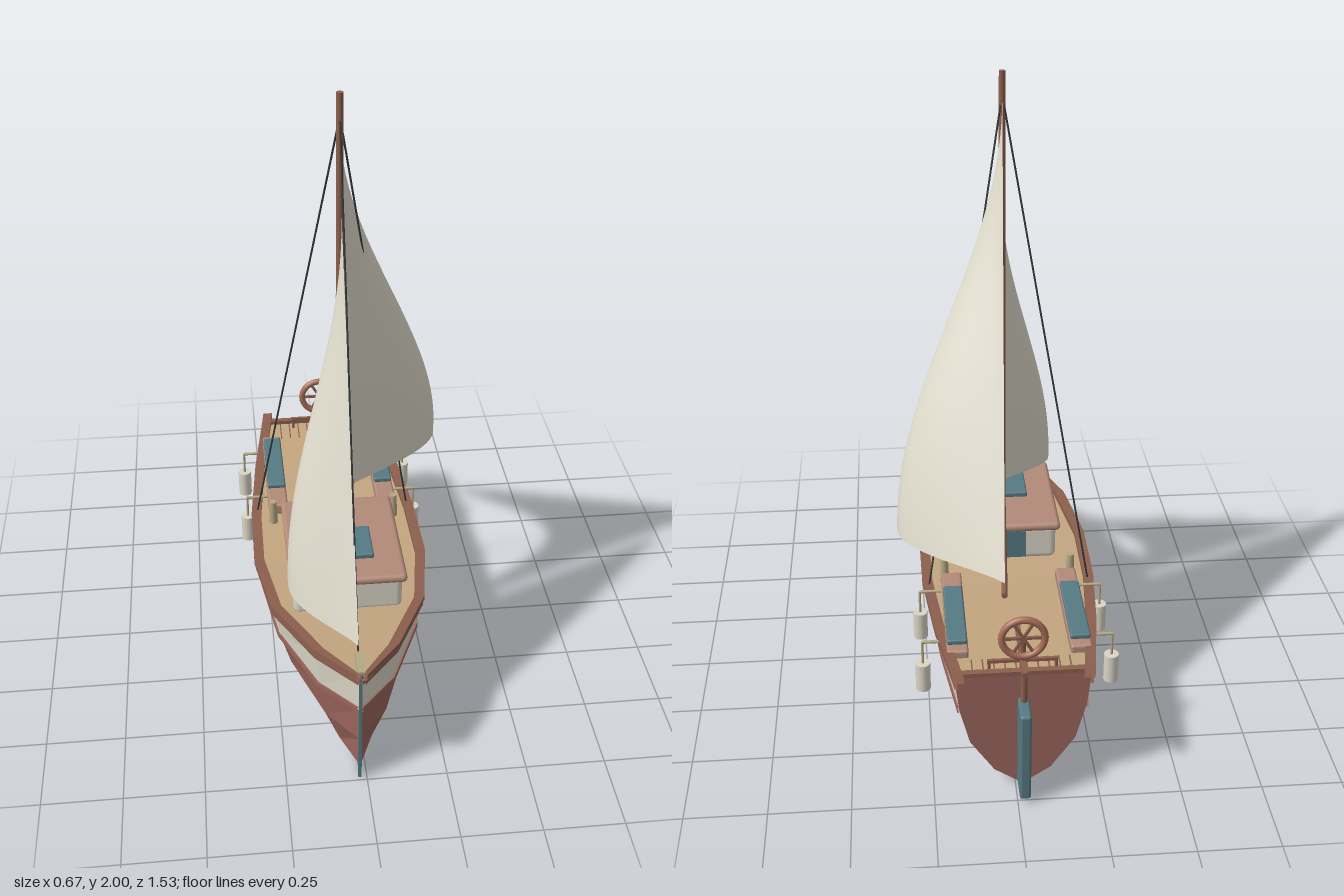
import * as THREE from 'three';
import { RoundedBoxGeometry } from 'three/addons/geometries/RoundedBoxGeometry.js';

const RED = 0x9a655c, CREAM = 0xd9d4c5, WOOD = 0x8c5f4d, TAN = 0xc4a680, ROOF = 0xb28a79,
  TEAL = 0x567a83, SAIL = 0xdedacb, DARK = 0x33383a, BRASS = 0xb3a883;

// hull stations from bow to stern: z, half-width, sheer height
const STATIONS = [[0.74, 0.003, 0.43], [0.62, 0.122, 0.415], [0.38, 0.236, 0.39], [0.13, 0.276, 0.378],
  [-0.13, 0.273, 0.375], [-0.4, 0.246, 0.388], [-0.67, 0.205, 0.41]];
// hull section below the waterline: height, fraction of half-width
const SECTION = [[0, 0.02], [0.055, 0.42], [0.165, 0.78], [0.285, 0.93]];

function mat(color, flatShading = false, side = THREE.FrontSide) {
  const m = new THREE.MeshStandardMaterial({ color, flatShading, side });
  return m;
}

// surface through rows of [x, y, z] points
function grid(rows) {
  const n = rows[0].length, index = [];
  for (let i = 0; i < rows.length - 1; i++) {
    for (let j = 0; j < n - 1; j++) {
      const a = i * n + j, b = a + n;
      index.push(a, b, a + 1, b, b + 1, a + 1);
    }
  }
  const g = new THREE.BufferGeometry();
  g.setAttribute('position', new THREE.Float32BufferAttribute(rows.flat(2), 3));
  g.setIndex(index);
  g.computeVertexNormals();
  return g;
}

export function createModel() {
  const boat = new THREE.Group();
  boat.name = 'sailboat';
  boat.position.x = -0.022;

  const add = (name, geo, color, pos = [0, 0, 0]) => {
    const mesh = new THREE.Mesh(geo, mat(color));
    mesh.name = name;
    mesh.position.set(...pos);
    boat.add(mesh);
    return mesh;
  };
  const surface = (name, rows, color, flat = true) => {
    const mesh = add(name, grid(rows), color);
    mesh.material = mat(color, flat, THREE.DoubleSide);
    return mesh;
  };
  const box = (name, size, pos, color) => add(name, new THREE.BoxGeometry(...size), color, pos);
  const rounded = (name, size, pos, color, r) =>
    add(name, new RoundedBoxGeometry(...size, 3, r), color, pos);
  const rod = (name, from, to, r, color, rTop = r, sides = 12) => {
    const a = new THREE.Vector3(...from), b = new THREE.Vector3(...to);
    const mesh = add(name, new THREE.CylinderGeometry(rTop, r, a.distanceTo(b), sides), color);
    mesh.position.copy(a).lerp(b, 0.5);
    mesh.quaternion.setFromUnitVectors(new THREE.Vector3(0, 1, 0), b.sub(a).normalize());
    return mesh;
  };

  // hull sides, rub strip and gunwale
  for (const s of [1, -1]) {
    surface('lowerHull', STATIONS.map(([z, w]) => SECTION.map(([y, f]) => [s * w * f, y, z])), RED);
    surface('topsides', STATIONS.map(([z, w, h]) => [[s * w * 0.93, 0.285, z], [s * w, h, z]]), CREAM);
    surface('rubStrip', STATIONS.map(([z, w]) => {
      const x = w * 0.93;
      return [[s * x, 0.278, z], [s * (x + 0.006), 0.278, z], [s * (x + 0.006), 0.296, z], [s * x, 0.296, z]];
    }), RED);
    const path = [[0.765, 0.008, 0.433], ...STATIONS.slice(1), [-0.705, 0.2, 0.413]];
    const band = (name, inner, outer, low, high) => surface(name, path.map(([z, w, h]) => {
      const a = s * Math.max(0, w + inner), b = s * (w + outer);
      return [[a, h + low, z], [b, h + low, z], [b, h + high, z], [a, h + high, z], [a, h + low, z]];
    }), WOOD);
    band('gunwaleCap', -0.024, 0.009, 0, 0.016);
    band('gunwaleStrake', -0.004, 0.005, -0.02, -0.006);
  }

  // transom
  const [sternZ, sternW, sternH] = STATIONS[STATIONS.length - 1];
  const levels = [...SECTION, [sternH, 1]];
  surface('transom', levels.map(([y, f]) => [[-sternW * f, y, sternZ], [sternW * f, y, sternZ]]), RED);
  box('transomCap', [sternW * 2, 0.014, 0.02], [0, sternH + 0.006, sternZ + 0.005], WOOD);

  // deck and plank seams
  surface('deck', STATIONS.map(([z, w, h]) => [-0.97, 0, 0.97].map((f) => [f * w, h - 0.006, z])), TAN);
  for (let i = -4; i <= 5; i++) {
    const seam = box('plankSeam', [0.004, 0.004, 0.08], [i * 0.033 - 0.016, 0.402, -0.615], WOOD);
    seam.rotation.x = 0.08;
  }

  // stem and bowsprit stub
  box('stem', [0.01, 0.42, 0.012], [0, 0.215, 0.737], TEAL);
  box('bowChock', [0.022, 0.018, 0.09], [0, 0.447, 0.715], BRASS);

  // cabin
  rounded('cabinWalls', [0.345, 0.125, 0.39], [0, 0.435, 0.197], CREAM, 0.02);
  rounded('cabinRoof', [0.37, 0.03, 0.435], [0, 0.505, 0.197], ROOF, 0.0145);
  rounded('hatch', [0.18, 0.02, 0.15], [0, 0.527, 0.24], TEAL, 0.006);
  box('cabinDoor', [0.14, 0.1, 0.016], [0, 0.44, -0.004], TEAL);
  for (const s of [1, -1]) {
    for (const z of [0.305, 0.145]) {
      const ring = add('portholeRing', new THREE.TorusGeometry(0.025, 0.006, 8, 24), WOOD, [s * 0.173, 0.45, z]);
      ring.rotation.y = Math.PI / 2;
      rod('portholeGlass', [s * 0.165, 0.45, z], [s * 0.176, 0.45, z], 0.025, TEAL, 0.025, 24);
    }
    // benches, winches and fenders
    rounded('bench', [0.066, 0.04, 0.43], [s * 0.188, 0.4, -0.345], ROOF, 0.008);
    rounded('cushion', [0.062, 0.018, 0.295], [s * 0.188, 0.427, -0.378], TEAL, 0.006);
    rod('winch', [s * 0.208, 0.37, -0.105], [s * 0.208, 0.455, -0.105], 0.015, BRASS, 0.012, 16);
    for (const z of [-0.21, -0.48]) {
      const x = s * 0.293;
      rod('fender', [x, 0.23, z], [x, 0.325, z], 0.023, CREAM, 0.023, 16);
      rod('fenderRope', [x, 0.32, z], [x, 0.402, z], 0.004, BRASS);
      rod('fenderArm', [s * 0.222, 0.402, z], [x, 0.402, z], 0.005, BRASS);
    }
    rod('shroud', [0, 1.93, 0.135], [s * 0.26, 0.39, -0.15], 0.003, DARK, 0.003, 6);
    rod('wheelPost', [s * 0.1, 0.39, -0.64], [s * 0.1, 0.44, -0.64], 0.005, WOOD);
  }

  // mast, boom and forestay
  rod('mast', [0, 0.38, 0.135], [0, 2, 0.135], 0.014, WOOD, 0.01, 16);
  rod('boom', [0, 0.608, 0.125], [0.047, 0.614, -0.56], 0.011, WOOD, 0.009);
  rod('forestay', [0, 1.94, 0.135], [0, 0.45, 0.67], 0.003, DARK, 0.003, 6);

  // sails: triangular panels with a belly that fades towards the head
  const sail = (name, head, tack, clew, belly) => {
    const H = new THREE.Vector3(...head), T = new THREE.Vector3(...tack), C = new THREE.Vector3(...clew);
    const rows = [];
    for (let i = 0; i <= 32; i++) {
      const v = Math.min(i / 32, 0.999), row = [];
      for (let j = 0; j <= 24; j++) {
        const u = j / 24;
        const p = T.clone().lerp(C, u).lerp(H, v);
        p.x += belly * Math.pow(Math.sin(Math.PI * u), 1.2) * Math.cos(Math.PI * v / 2) ** 2;
        row.push(p.toArray());
      }
      rows.push(row);
    }
    surface(name, rows, SAIL, false);
  };
  sail('mainSail', [0, 1.93, 0.125], [0, 0.645, 0.12], [0.045, 0.645, -0.54], 0.335);
  sail('jib', [0, 1.66, 0.18], [0, 0.485, 0.68], [0, 0.575, 0.18], -0.192);

  // rudder and tiller
  rounded('rudder', [0.034, 0.31, 0.1], [0, 0.172, -0.717], TEAL, 0.008);
  rod('rudderStock', [0, 0.3, -0.69], [0, 0.435, -0.69], 0.01, WOOD);
  box('tiller', [0.016, 0.016, 0.25], [0, 0.436, -0.585], WOOD);

  // steering wheel on its rail
  box('wheelRail', [0.21, 0.01, 0.01], [0, 0.44, -0.64], WOOD);
  rod('wheelPedestal', [0, 0.4, -0.64], [0, 0.527, -0.645], 0.009, WOOD);
  const wheel = new THREE.Group();
  wheel.name = 'wheel';
  wheel.position.set(0, 0.527, -0.653);
  const rim = add('wheelRim', new THREE.TorusGeometry(0.064, 0.011, 10, 32), 0xa86e58);
  wheel.add(rim);
  for (let i = 0; i < 3; i++) {
    const spoke = box('wheelSpoke', [0.125, 0.008, 0.008], [0, 0, 0], WOOD);
    spoke.rotation.z = i * Math.PI / 3;
    wheel.add(spoke);
  }
  boat.add(wheel);

  const model = new THREE.Group();
  model.name = 'model';
  model.add(boat);
  return model;
}
